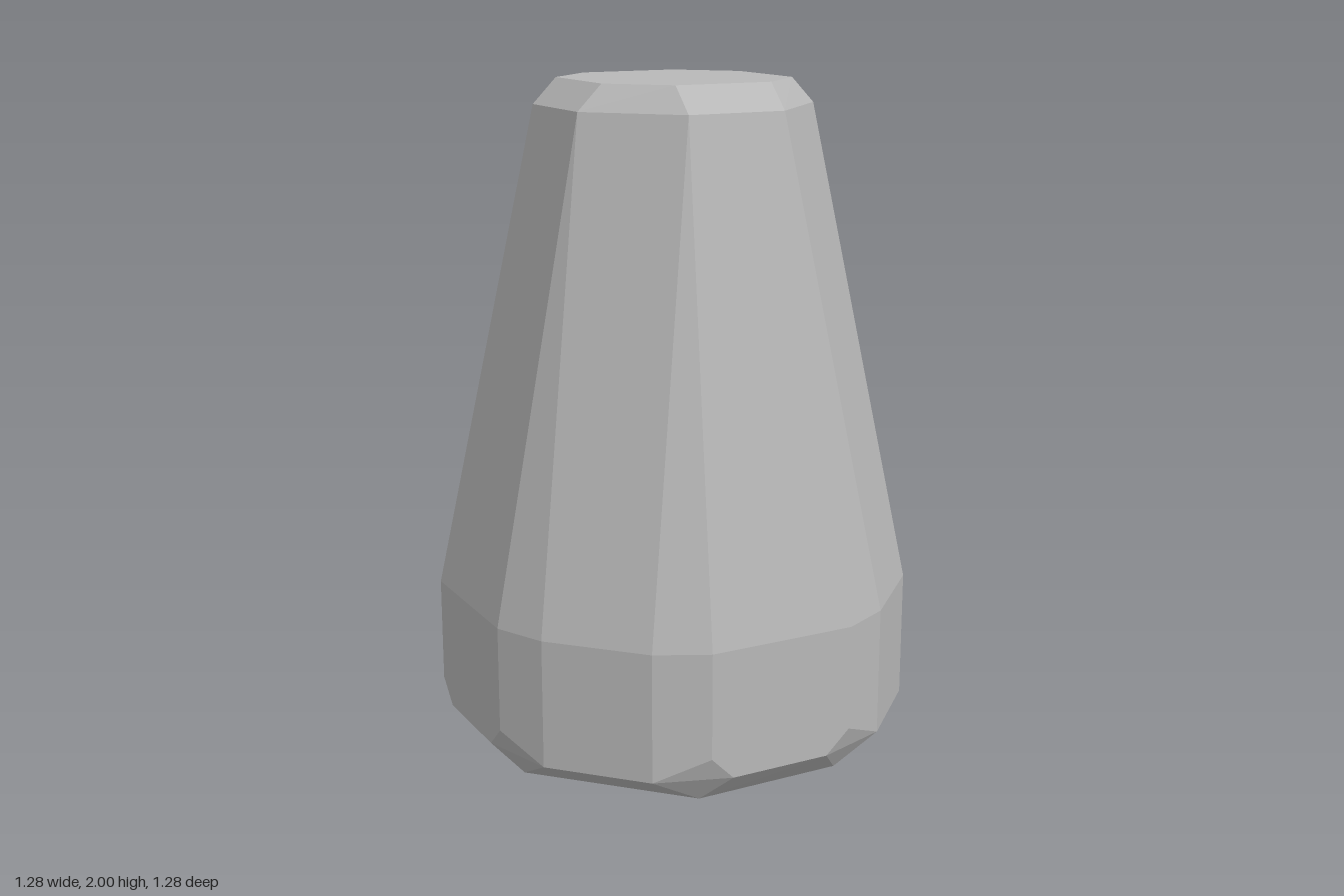
import * as THREE from 'three';
import { ConvexGeometry } from 'three/addons/geometries/ConvexGeometry.js';

// Repeat one side's [x, z] corners around the four sides at height y.
function ring(y, corners, shiftZ = 0) {
  const points = [];
  for (let side = 0; side < 4; side++) {
    for (const [cx, cz] of corners) {
      let x = cx, z = cz;
      for (let i = 0; i < side; i++) [x, z] = [z, -x];
      points.push(new THREE.Vector3(x, y, z + shiftZ));
    }
  }
  return points;
}

export function createModel() {
  const group = new THREE.Group();
  group.name = 'facetedTaperedBlock';
  const grey = new THREE.MeshStandardMaterial({ color: 0xb8b8b8, flatShading: true });
  grey.name = 'grey';

  const points = [
    // small flat foot and rounded underside
    ...ring(0, [[0.09, 0.21], [-0.1, 0.21]]),
    ...ring(0.08, [[0.16, 0.43], [-0.18, 0.43]]),
    ...ring(0.145, [[0.2, 0.57], [-0.225, 0.567]]),
    // lower bevel with diamond-shaped corner cuts
    ...ring(0.22, [[0.34, 0.575], [0.13, 0.639], [-0.16, 0.636], [-0.365, 0.565]]),
    ...ring(0.285, [[0.2, 0.64], [-0.225, 0.635]]),
    // widest band
    ...ring(0.58, [[0.34, 0.575], [0.2, 0.64], [-0.225, 0.635], [-0.365, 0.565]]),
    // tapered neck and bevelled octagonal top
    ...ring(1.93, [[0.135, 0.357], [-0.15, 0.355]], 0.01),
    ...ring(2, [[0.135, 0.287], [-0.15, 0.285]], 0.01),
  ];

  const body = new THREE.Mesh(new ConvexGeometry(points), grey);
  body.name = 'body';
  group.add(body);
  return group;
}
